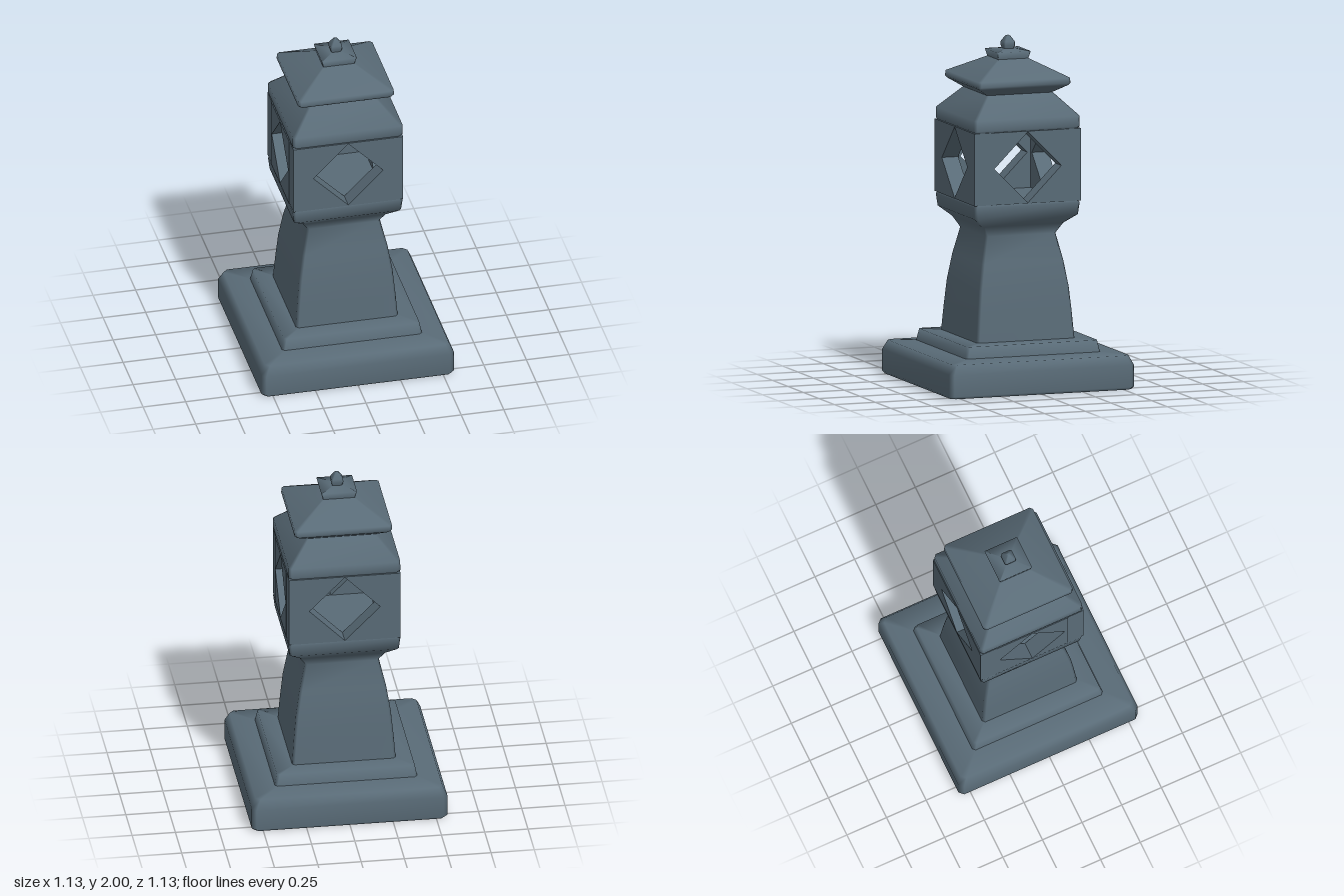
import * as THREE from 'three';

const stone = new THREE.MeshStandardMaterial({ color: 0x596b77 });
stone.name = 'slateStone';

// Square loft with chamfered corners; rings are [halfWidth, y, chamfer], bottom to top
function squareLoft(name, rings) {
  const pos = [], index = [];
  const addRing = ([h, y, c]) => {
    const k = h - c;
    for (const [x, z] of [[h, -k], [h, k], [k, h], [-k, h], [-h, k], [-h, -k], [-k, -h], [k, -h]]) pos.push(x, y, z);
  };
  rings.forEach(addRing);
  for (let r = 0; r < rings.length - 1; r++) {
    for (let i = 0; i < 8; i++) {
      const a = r * 8 + i, b = r * 8 + (i + 1) % 8;
      index.push(a, a + 8, b, b, a + 8, b + 8);
    }
  }
  // flat end caps with their own vertices
  const bottom = rings.length * 8, top = bottom + 8;
  addRing(rings[0]);
  addRing(rings[rings.length - 1]);
  for (let i = 1; i < 7; i++) {
    index.push(bottom, bottom + i, bottom + i + 1);
    index.push(top, top + i + 1, top + i);
  }
  const geo = new THREE.BufferGeometry();
  geo.setAttribute('position', new THREE.Float32BufferAttribute(pos, 3));
  geo.setIndex(index);
  geo.computeVertexNormals();
  const mesh = new THREE.Mesh(geo, stone);
  mesh.name = name;
  return mesh;
}

// Lantern wall panel with a diamond window, outer face towards +z
function windowWall(halfWidth, halfHeight, thickness) {
  const shape = new THREE.Shape();
  shape.moveTo(-halfWidth, -halfHeight);
  shape.lineTo(halfWidth, -halfHeight);
  shape.lineTo(halfWidth, halfHeight);
  shape.lineTo(-halfWidth, halfHeight);
  shape.closePath();
  const d = 0.205, hole = new THREE.Path();
  hole.moveTo(0, -d);
  hole.lineTo(-d, 0);
  hole.lineTo(0, d);
  hole.lineTo(d, 0);
  hole.closePath();
  shape.holes.push(hole);
  return new THREE.ExtrudeGeometry(shape, { depth: thickness, bevelEnabled: false });
}

export function createModel() {
  const model = new THREE.Group();
  model.name = 'stoneLantern';

  // Plinth with a stepped tier
  model.add(squareLoft('plinth', [
    [0.553, 0, 0.025], [0.565, 0.015, 0.025], [0.565, 0.14, 0.025],
    [0.54, 0.195, 0.025], [0.41, 0.205, 0.015],
  ]));
  model.add(squareLoft('plinthStep', [[0.412, 0.2, 0.015], [0.398, 0.272, 0.015], [0.29, 0.275, 0.01]]));

  const upper = new THREE.Group();
  upper.name = 'lantern';
  upper.position.x = -0.004;
  model.add(upper);

  // Tapering shaft flaring into the lantern sill
  upper.add(squareLoft('shaft', [
    [0.3, 0.265, 0.015], [0.288, 0.42, 0.015], [0.274, 0.57, 0.015], [0.25, 0.72, 0.015],
    [0.214, 0.875, 0.012], [0.25, 0.935, 0.014], [0.315, 0.99, 0.015],
    [0.323, 1.06, 0.015], [0.312, 1.075, 0.015],
  ]));

  // Four walls with diamond windows around a hollow chamber
  const half = 0.325, thick = 0.1;
  for (let i = 0; i < 4; i++) {
    const wall = new THREE.Mesh(windowWall(i % 2 ? half - thick : half - 0.003, 0.209, thick), stone);
    wall.geometry.translate(0, 0, half - thick);
    wall.position.y = 1.28;
    wall.rotation.y = i * Math.PI / 2;
    wall.name = 'windowWall';
    upper.add(wall);
  }

  // Lower roof, overhanging upper roof and its cap
  upper.add(squareLoft('lowerRoof', [
    [0.312, 1.485, 0.015], [0.323, 1.5, 0.015], [0.322, 1.56, 0.015], [0.198, 1.69, 0.01],
  ]));
  upper.add(squareLoft('upperRoof', [
    [0.198, 1.685, 0.01], [0.272, 1.732, 0.015], [0.282, 1.745, 0.015],
    [0.28, 1.775, 0.015], [0.09, 1.875, 0.006],
  ]));
  upper.add(squareLoft('roofCap', [[0.09, 1.865, 0.004], [0.103, 1.915, 0.004], [0.034, 1.925, 0.004]]));

  // Pointed finial
  upper.add(squareLoft('finial', [
    [0.026, 1.915, 0.006], [0.035, 1.945, 0.008], [0.033, 1.965, 0.008], [0.012, 1.997, 0.004], [0.004, 2, 0.001],
  ]));
  return model;
}
